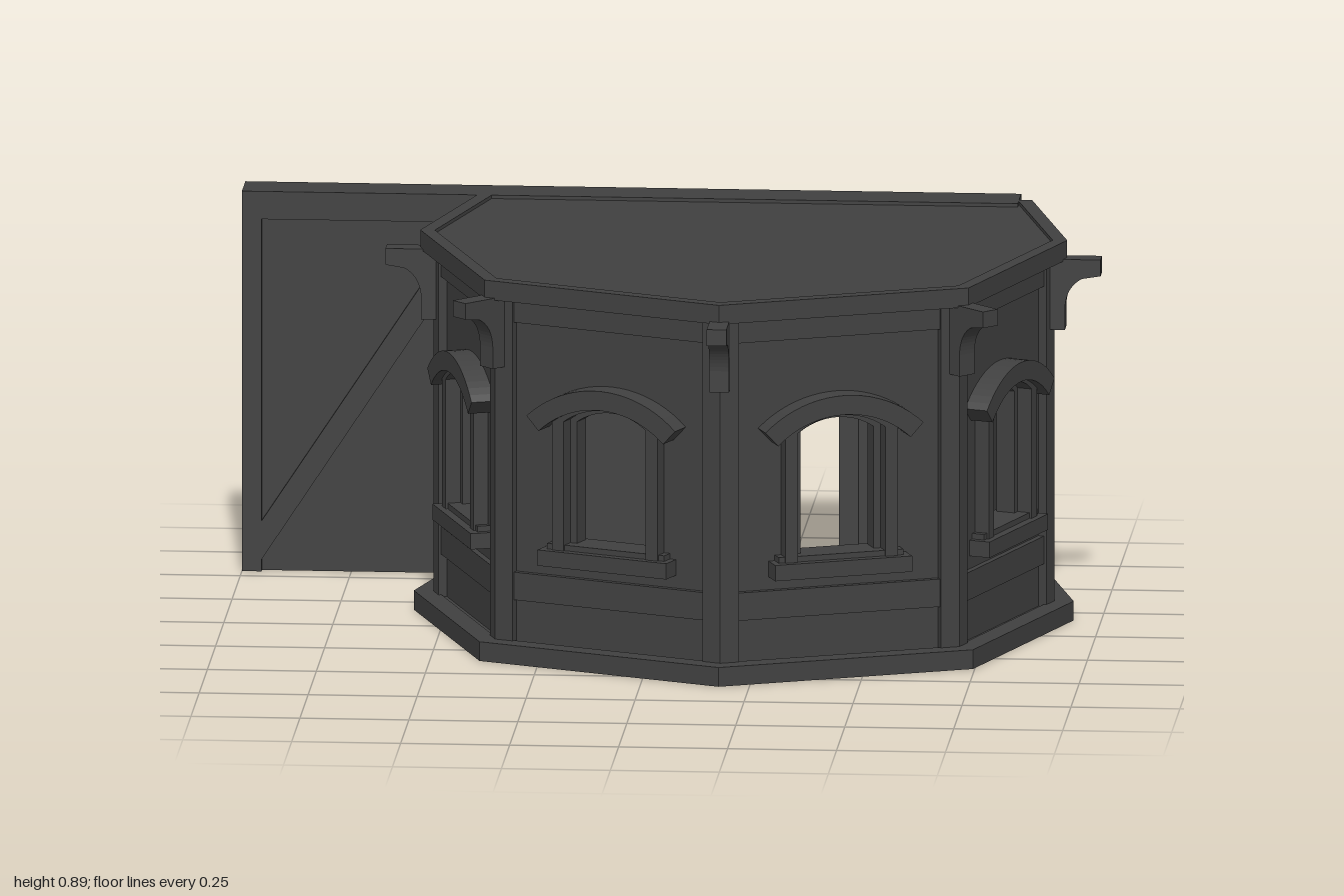
import * as THREE from 'three';

const material = new THREE.MeshStandardMaterial({ color: 0x404040, flatShading: true });
const CX = 0.18, CZ = -0.17;

// Half plan of the bay, relative to its centre, then mirrored
const half = [[0, 0.75], [0.555, 0.522], [0.742, 0], [0.63, -0.42]];
const plan = [...half.slice(1).reverse().map(([x, z]) => [-x, z]), ...half];
const planAt = s => plan.map(([x, z]) => [CX + x * s, CZ + z * s]);

function add(parent, name, geometry, x = 0, y = 0, z = 0) {
  const mesh = new THREE.Mesh(geometry, material);
  mesh.name = name;
  mesh.position.set(x, y, z);
  parent.add(mesh);
  return mesh;
}

// Box given by its limits on each axis
function block(parent, name, x0, x1, y0, y1, z0, z1) {
  return add(parent, name, new THREE.BoxGeometry(x1 - x0, y1 - y0, z1 - z0),
    (x0 + x1) / 2, (y0 + y1) / 2, (z0 + z1) / 2);
}

function extrude(shape, depth) {
  return new THREE.ExtrudeGeometry(shape, { depth, bevelEnabled: false, curveSegments: 10 });
}

// Flat slab or ring following the bay plan
function slab(parent, name, s, y0, y1, holeScale) {
  const points = k => planAt(k).map(([x, z]) => new THREE.Vector2(x, -z));
  const shape = new THREE.Shape(points(s));
  if (holeScale) shape.holes.push(new THREE.Path(points(holeScale)));
  add(parent, name, extrude(shape, y1 - y0).rotateX(-Math.PI / 2), 0, y0, 0);
}

// Opening outline with a shallow segmental arch on top
function arched(path, h, y0, spring, top) {
  const s = top - spring, r = (h * h + s * s) / (2 * s), a = Math.asin(h / r);
  path.moveTo(-h, y0);
  path.lineTo(h, y0);
  path.lineTo(h, spring);
  path.absarc(0, top - r, r, Math.PI / 2 - a, Math.PI / 2 + a, false);
  path.lineTo(-h, y0);
  return path;
}

function archRing(outer, inner) {
  const shape = arched(new THREE.Shape(), ...outer);
  shape.holes.push(arched(new THREE.Path(), ...inner));
  return shape;
}

function addWindow(wall) {
  const win = new THREE.Group();
  win.name = 'window';
  wall.add(win);
  add(win, 'outerFrame', extrude(archRing([0.135, 0.26, 0.575, 0.625], [0.105, 0.27, 0.575, 0.61]), 0.04), 0, 0, -0.025);
  add(win, 'innerFrame', extrude(archRing([0.112, 0.26, 0.575, 0.615], [0.088, 0.285, 0.57, 0.598]), 0.045), 0, 0, -0.065);
  block(win, 'sill', -0.165, 0.165, 0.235, 0.272, -0.03, 0.03);
  block(win, 'innerSill', -0.15, 0.15, 0.262, 0.285, -0.075, 0.01);
  // curved hood moulding
  const r = 0.278, a = 0.753, cy = 0.382, hood = new THREE.Shape();
  hood.absarc(0, cy, r, Math.PI / 2 - a, Math.PI / 2 + a, false);
  hood.absarc(0, cy, r - 0.045, Math.PI / 2 + a, Math.PI / 2 - a, true);
  add(win, 'hood', extrude(hood, 0.06), 0, 0, -0.025);
}

// One wall of the bay; local +z points outward, z = 0 is the face of the trim
function addBayWall(parent, [ax, az], [bx, bz], hasWindow) {
  const wall = new THREE.Group();
  wall.name = 'bayWall';
  const h = Math.hypot(bx - ax, bz - az) / 2;
  wall.position.set((ax + bx) / 2, 0, (az + bz) / 2);
  wall.rotation.y = Math.atan2(az - bz, bx - ax);
  parent.add(wall);

  const e = h - 0.012;
  const panel = new THREE.Shape([[-e, 0.03], [e, 0.03], [e, 0.86], [-e, 0.86]].map(p => new THREE.Vector2(...p)));
  if (hasWindow) panel.holes.push(arched(new THREE.Path(), 0.105, 0.275, 0.575, 0.61));
  add(wall, 'panel', extrude(panel, 0.045), 0, 0, -0.065);

  block(wall, 'leftPost', -h, -h + 0.045, 0.03, 0.86, -0.03, 0);
  block(wall, 'rightPost', h - 0.045, h, 0.03, 0.86, -0.03, 0);
  block(wall, 'topRail', -h + 0.03, h - 0.03, 0.79, 0.86, -0.03, -0.006);
  block(wall, 'waistRail', -h + 0.03, h - 0.03, 0.14, 0.205, -0.03, -0.006);
  if (hasWindow) addWindow(wall);
}

// Curved bracket under the roof edge
function addBracket(parent, x, z, angle) {
  const s = new THREE.Shape();
  s.moveTo(-0.04, 0.85);
  s.lineTo(0.108, 0.85);
  s.lineTo(0.108, 0.812);
  s.lineTo(0.065, 0.805);
  s.quadraticCurveTo(0.028, 0.785, 0.026, 0.735);
  s.lineTo(0.026, 0.685);
  s.lineTo(-0.04, 0.685);
  const geometry = extrude(s, 0.045).translate(0, 0, -0.0225).rotateY(-Math.PI / 2);
  add(parent, 'bracket', geometry, x, 0, z).rotation.y = angle;
}

export function createModel() {
  const model = new THREE.Group();
  model.name = 'bayRoom';

  // Base with floor, roof with raised rim
  slab(model, 'plinth', 1.02, 0, 0.045, 0.95);
  slab(model, 'floor', 0.97, 0.004, 0.04);
  slab(model, 'roofRim', 1, 0.845, 0.89, 0.955);
  slab(model, 'roof', 0.98, 0.848, 0.882);

  // Bay walls: windows in the four front ones
  const corners = planAt(0.96);
  for (let i = 0; i < corners.length - 1; i++) {
    addBayWall(model, corners[i], corners[i + 1], i > 0 && i < corners.length - 2);
  }

  // Brackets at the five outer corners; extrusion local x is turned to +z first
  for (let i = 1; i < corners.length - 1; i++) {
    const [x, z] = corners[i];
    addBracket(model, x, z, (i - 3) * Math.PI / 4);
  }

  // Long back wall with doorway
  const back = new THREE.Group();
  back.name = 'backWall';
  model.add(back);
  const d0 = -0.02, d1 = 0.38, doorTop = 0.62;
  const outline = [[-1, 0], [d0, 0], [d0, doorTop], [d1, doorTop], [d1, 0], [0.78, 0], [0.78, 0.85], [-1, 0.85]];
  add(back, 'wall', extrude(new THREE.Shape(outline.map(p => new THREE.Vector2(...p))), 0.06), 0, 0, -0.625);
  block(back, 'topBeam', -1, 0.78, 0.825, 0.89, -0.655, -0.55);
  block(back, 'endPost', -1, -0.955, 0, 0.85, -0.625, -0.55);
  block(back, 'cornerPost', 0.765, 0.81, 0, 0.87, -0.61, -0.56);

  // Diagonal brace on the free part of the wall
  const brace = new THREE.Shape([[-0.96, 0.02], [-0.52, 0.69], [-0.52, 0.78], [-0.96, 0.11]].map(p => new THREE.Vector2(...p)));
  add(back, 'brace', extrude(brace, 0.02), 0, 0, -0.573);

  // Door frame
  block(back, 'doorJamb', d0 - 0.035, d0 + 0.01, 0, doorTop, -0.642, -0.55);
  block(back, 'doorJamb', d1 - 0.01, d1 + 0.035, 0, doorTop, -0.642, -0.55);
  block(back, 'doorLintel', d0 - 0.06, d1 + 0.06, doorTop, 0.668, -0.655, -0.55);

  return model;
}
